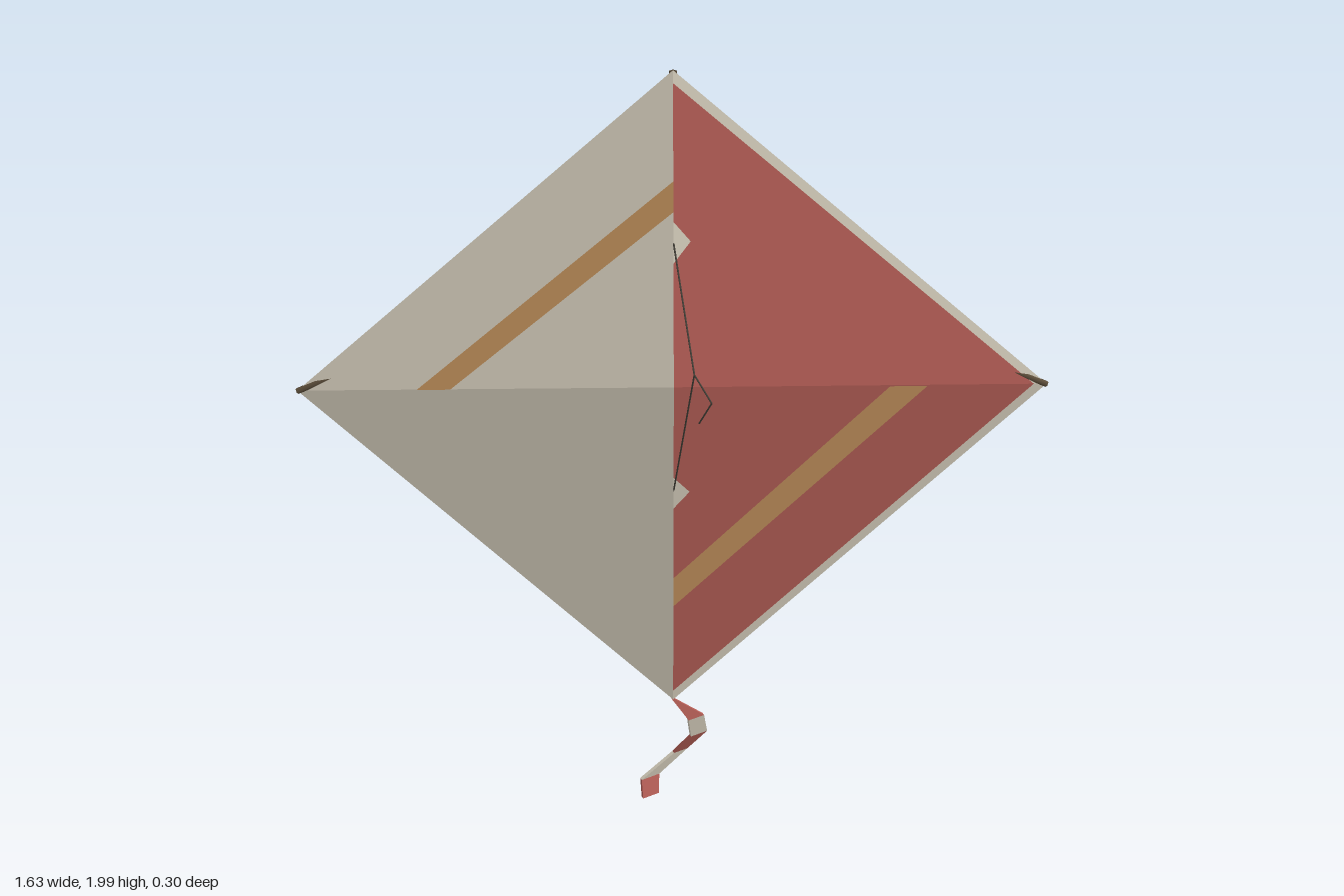
import * as THREE from 'three';

const mat = (name, color) => new THREE.MeshStandardMaterial({ name, color, side: THREE.DoubleSide });

// Sail corners and fold
const TIP = 0.813, TIP_Y = 1.24, TOP = 2, LOW = 0.357, MID = 1.32;
const foldY = (x) => MID - ((MID - TIP_Y) / TIP) * Math.abs(x);

// Depth of the folded sail at any point
function sailZ(x, y) {
  const ax = Math.abs(x);
  return y > foldY(x)
    ? 0.015 - 0.09 * (y - MID) / (TOP - MID) - 0.161 * ax
    : 0.015 - 0.09 * (MID - y) / (MID - LOW) - 0.139 * ax;
}

// Flat polygon (fan) from 3D points
function fan(points) {
  const g = new THREE.BufferGeometry();
  const pos = [];
  for (let i = 1; i < points.length - 1; i++) pos.push(...points[0], ...points[i], ...points[i + 1]);
  g.setAttribute('position', new THREE.Float32BufferAttribute(pos, 3));
  g.computeVertexNormals();
  return g;
}

// Polygon lying on the sail; points run counterclockwise as seen from the front
const onSail = (pts, lift = 0) => fan(pts.map(([x, y]) => [x, y, sailZ(x, y) + lift]));

// Straight-jointed rod or string: one tube per stretch
function polyRod(points, radius, sides) {
  const v = points.map((p) => new THREE.Vector3(...p));
  return v.slice(1).map((end, i) =>
    new THREE.TubeGeometry(new THREE.LineCurve3(v[i], end), 1, radius, sides));
}

// Four corners of the tail's slanted section: left front, right front, right back, left back
function tailSection([x, y, z, half]) {
  const t = Math.min(0.004, half);
  return [[-1, 1], [1, 1], [1, -1], [-1, -1]].map(([s, f]) =>
    [x + s * half + f * t * 0.5, y, z - s * half * 0.5 + f * t]);
}

export function createModel() {
  const cream = mat('cream cloth', 0xe0d8c6);
  const red = mat('red cloth', 0xbc625a);
  const orange = mat('orange stripe', 0xcb9861);
  const wood = mat('dark wood', 0x5f503c);
  const cord = mat('dark cord', 0x45423a);

  const model = new THREE.Group();
  model.name = 'kite';
  const add = (name, geometry, material) => {
    const mesh = new THREE.Mesh(geometry, material);
    mesh.name = name;
    model.add(mesh);
  };

  // Cream right half of the sail
  add('rightUpperSail', onSail([[0, MID], [0, TOP], [-TIP, TIP_Y]]), cream);
  add('rightLowerSail', onSail([[0, MID], [-TIP, TIP_Y], [0, LOW]]), cream);

  // Red left half with a cream hem
  const inX = 0.784, inY = foldY(inX), inTop = 1.974, inLow = 0.388;
  add('leftUpperSail', onSail([[0, MID], [inX, inY], [0, inTop]]), red);
  add('leftLowerSail', onSail([[0, MID], [0, inLow], [inX, inY]]), red);
  add('leftUpperHem', onSail([[0, inTop], [inX, inY], [TIP, TIP_Y], [0, TOP]]), cream);
  add('leftLowerHem', onSail([[0, inLow], [0, LOW], [TIP, TIP_Y], [inX, inY]]), cream);

  // Stripes on the front, ending at the fold
  add('upperStripe', onSail([[0, 1.775], [-0.55, foldY(0.55) + 0.001],
    [-0.477, foldY(0.477) + 0.001], [0, 1.71]], 0.003), orange);
  add('lowerStripe', onSail([[0, 0.675], [0.547, foldY(0.547) - 0.001],
    [0.465, foldY(0.465) - 0.001], [0, 0.765]], 0.003), orange);

  // Reinforcing patches where the bridle is tied
  for (const [name, y] of [['upperPatch', 1.645], ['lowerPatch', 1.025]]) {
    add(name + 'Left', onSail([[0, y - 0.045], [0.035, y], [0, y + 0.045]], 0.004), cream);
    add(name + 'Right', onSail([[0, y + 0.045], [-0.035, y], [0, y - 0.045]], 0.004), cream);
  }

  // Spine behind the fold
  polyRod([[0, TOP - 0.005, -0.083], [0, MID, 0.006], [0, LOW + 0.008, -0.083]], 0.008, 4)
    .forEach((g) => add('spine', g, wood));

  // Bowed cross spar
  const bow = new THREE.CatmullRomCurve3([
    [-TIP, TIP_Y, -0.104], [-0.6, 1.335, -0.105], [-0.3, 1.425, -0.09], [0, 1.465, -0.066],
    [0.3, 1.425, -0.09], [0.6, 1.335, -0.105], [TIP, TIP_Y, -0.104],
  ].map((p) => new THREE.Vector3(...p)));
  add('crossSpar', new THREE.TubeGeometry(bow, 24, 0.007, 5), wood);

  // Bridle lines and loose end
  const knot = [0.04, 1.42, 0.12];
  [...polyRod([[0, 1.645, -0.026], knot, [0, 1.03, -0.01]], 0.0018, 4),
    ...polyRod([knot, [0.075, 1.37, 0.15], [0.05, 1.31, 0.135]], 0.0018, 4)]
    .forEach((g) => add('bridleLine', g, cord));

  // Ribbon tail in alternating colours: x, y, z and half width at each joint
  const rows = [
    [0, 0.36, -0.074, 0.003], [0.055, 0.28, -0.097, 0.019], [0.063, 0.2, -0.126, 0.02],
    [0.018, 0.132, -0.138, 0.017], [-0.058, 0.058, -0.122, 0.022], [-0.057, 0.006, -0.108, 0.02],
  ].map(tailSection);
  for (let i = 0; i < rows.length - 1; i++) {
    for (let j = 0; j < 4; j++) {
      const k = (j + 1) % 4;
      add('tailSegment', fan([rows[i][j], rows[i + 1][j], rows[i + 1][k], rows[i][k]]),
        i % 2 ? cream : red);
    }
  }
  add('tailEnd', fan([...rows[5]].reverse()), red);
  return model;
}
